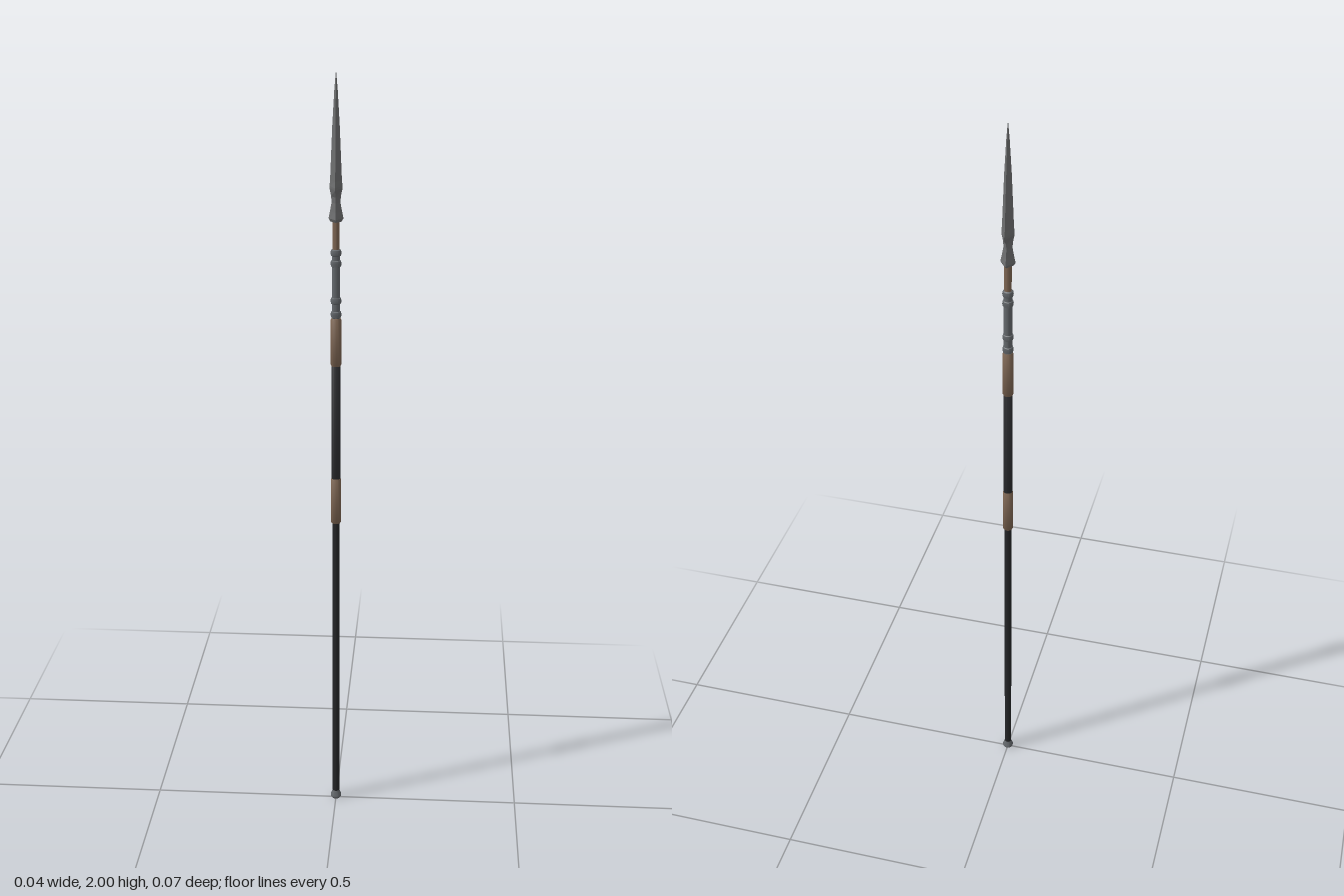
import * as THREE from 'three';
import { toCreasedNormals } from 'three/addons/utils/BufferGeometryUtils.js';

const material = (name, color) => {
  const m = new THREE.MeshStandardMaterial({ color });
  m.name = name;
  return m;
};

// Turned part from [radius, y] pairs, listed from bottom to top
function turned(name, profile, mat, sides = 16) {
  const points = profile.map(([r, y]) => new THREE.Vector2(r, y));
  const geometry = toCreasedNormals(new THREE.LatheGeometry(points, sides), 0.6);
  const mesh = new THREE.Mesh(geometry, mat);
  mesh.name = name;
  return mesh;
}

// Capped sleeve with a small bevel at each end
const sleeve = (name, r, y0, y1, mat) => turned(name, [
  [0, y0], [r - 0.002, y0], [r, y0 + 0.004], [r, y1 - 0.004], [r - 0.002, y1], [0, y1],
], mat);

// Four-ridged solid from [halfX, halfZ, y] sections, listed from bottom to top
function diamondLoft(sections) {
  const positions = [];
  const corner = ([hx, hz, y], k) => {
    const a = (k * Math.PI) / 2;
    return [Math.sin(a) * hx, y, Math.cos(a) * hz];
  };
  for (let i = 0; i < sections.length - 1; i++) {
    for (let k = 0; k < 4; k++) {
      const a = corner(sections[i], k), b = corner(sections[i], k + 1);
      const c = corner(sections[i + 1], k + 1), d = corner(sections[i + 1], k);
      positions.push(...a, ...b, ...c, ...a, ...c, ...d);
    }
  }
  const geometry = new THREE.BufferGeometry();
  geometry.setAttribute('position', new THREE.Float32BufferAttribute(positions, 3));
  geometry.computeVertexNormals();
  return geometry;
}

export function createModel() {
  const spear = new THREE.Group();
  spear.name = 'spear';
  const steel = material('blade steel', 0x6c6d6e);
  const iron = material('collar iron', 0x63676b);
  const bronze = material('bronze brown', 0x7d6552);
  const black = material('black wood', 0x242527);
  const leather = material('dark grip leather', 0x2b2c2f);

  // Shaft, grip and its two end wraps
  spear.add(turned('shaft', [[0, 0.012], [0.0095, 0.012], [0.0095, 1.4], [0, 1.4]], black));
  spear.add(sleeve('grip', 0.0115, 0.95, 1.27, leather));
  spear.add(sleeve('lowerWrap', 0.0135, 0.835, 0.96, bronze));
  spear.add(sleeve('upperWrap', 0.0135, 1.265, 1.39, bronze));

  // Butt cap
  spear.add(turned('buttCap', [
    [0, 0], [0.011, 0], [0.0145, 0.005], [0.0145, 0.011], [0.011, 0.019], [0.0095, 0.024], [0, 0.024],
  ], iron));

  // Collar with paired rings at both ends
  spear.add(turned('collar', [[0, 1.385], [0.0105, 1.385], [0.0105, 1.565], [0, 1.565]], iron));
  for (const y of [1.4, 1.435, 1.53, 1.557]) {
    spear.add(turned('collarRing', [
      [0.0095, y - 0.009], [0.0125, y - 0.007], [0.014, y], [0.0125, y + 0.007], [0.0095, y + 0.009],
    ], iron));
  }

  // Neck between collar and spearhead
  spear.add(turned('neck', [[0, 1.56], [0.009, 1.56], [0.009, 1.65], [0, 1.65]], bronze));

  // Spearhead: flared foot, waist, barbs and long tapering blade
  const head = new THREE.Mesh(diamondLoft([
    [0, 0, 1.632], [0.014, 0.018, 1.635], [0.0185, 0.025, 1.643], [0.015, 0.019, 1.66],
    [0.011, 0.015, 1.682], [0.012, 0.017, 1.697], [0.016, 0.034, 1.717], [0.016, 0.035, 1.723],
    [0.0145, 0.0295, 1.737], [0.009, 0.016, 1.87], [0.004, 0.0065, 1.955], [0, 0, 2],
  ]), steel);
  head.name = 'spearhead';
  spear.add(head);

  return spear;
}
